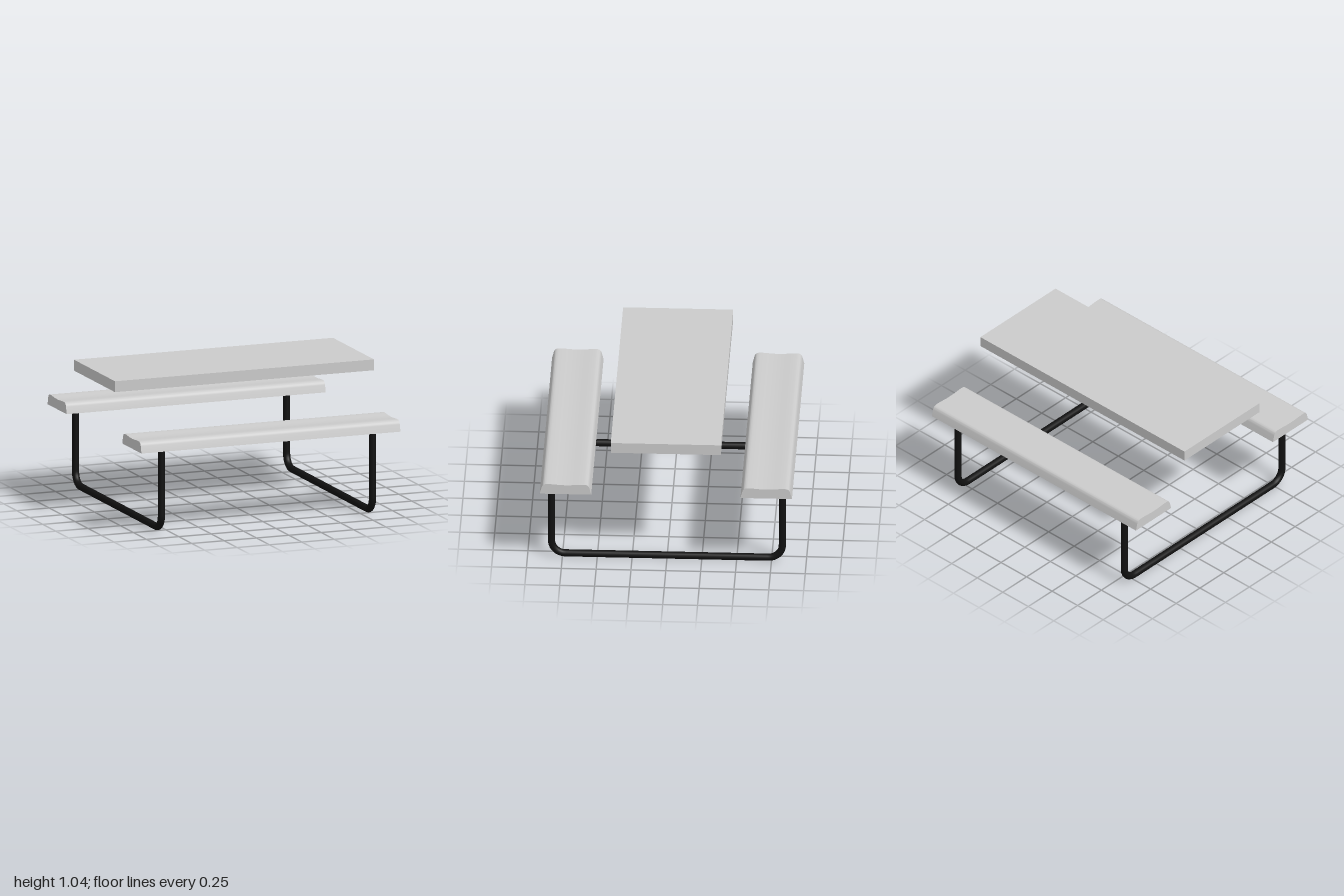
import * as THREE from 'three';
import { toCreasedNormals } from 'three/addons/utils/BufferGeometryUtils.js';

const grey = new THREE.MeshStandardMaterial({ color: 0xcccccc });
const black = new THREE.MeshStandardMaterial({ color: 0x111111 });

function addMesh(group, name, geometry, material) {
  const mesh = new THREE.Mesh(geometry, material);
  mesh.name = name;
  group.add(mesh);
  return mesh;
}

// Bench cross-section: flat underside, sloped sides, rounded shoulders, dished top
function benchGeometry() {
  const s = new THREE.Shape();
  s.moveTo(-0.185, 0);
  s.lineTo(0.185, 0);
  s.lineTo(0.172, 0.05);
  s.bezierCurveTo(0.165, 0.072, 0.155, 0.08, 0.13, 0.08);
  s.bezierCurveTo(0.08, 0.08, 0.06, 0.073, 0, 0.073);
  s.bezierCurveTo(-0.06, 0.073, -0.08, 0.08, -0.13, 0.08);
  s.bezierCurveTo(-0.155, 0.08, -0.165, 0.072, -0.172, 0.05);
  s.closePath();
  const g = new THREE.ExtrudeGeometry(s, { depth: 2, bevelEnabled: false, curveSegments: 10 });
  g.translate(0, 0, -1);
  g.rotateY(-Math.PI / 2);
  return toCreasedNormals(g, 0.7);
}

// U-shaped tube from one bench, along the ground, up to the other
function frameGeometry() {
  const z = 0.828, low = 0.026, top = 0.615, r = 0.1;
  const v = (y, zz) => new THREE.Vector3(0, y, zz);
  const path = new THREE.CurvePath();
  path.add(new THREE.LineCurve3(v(top, z), v(low + r, z)));
  path.add(bend(1));
  path.add(new THREE.LineCurve3(v(low, z - r), v(low, r - z)));
  path.add(bend(-1));
  path.add(new THREE.LineCurve3(v(low + r, -z), v(top, -z)));

  function bend(side) {
    const k = r * 0.448; // control offset for a circular quarter
    const pts = [v(low + r, z * side), v(low + k, z * side),
      v(low, (z - k) * side), v(low, (z - r) * side)];
    if (side < 0) pts.reverse();
    return new THREE.CubicBezierCurve3(...pts);
  }
  return new THREE.TubeGeometry(path, 160, 0.026, 16, false);
}

export function createModel() {
  const model = new THREE.Group();
  model.name = 'picnicTable';

  addMesh(model, 'tableTop', new THREE.BoxGeometry(2, 0.08, 0.79), grey).position.y = 0.998;

  const bench = benchGeometry();
  const frame = frameGeometry();
  for (const side of [1, -1]) {
    addMesh(model, side > 0 ? 'frontBench' : 'backBench', bench, grey)
      .position.set(0, 0.61, 0.72 * side);
    addMesh(model, side > 0 ? 'leftFrame' : 'rightFrame', frame, black)
      .position.x = 0.815 * side;
  }
  return model;
}
